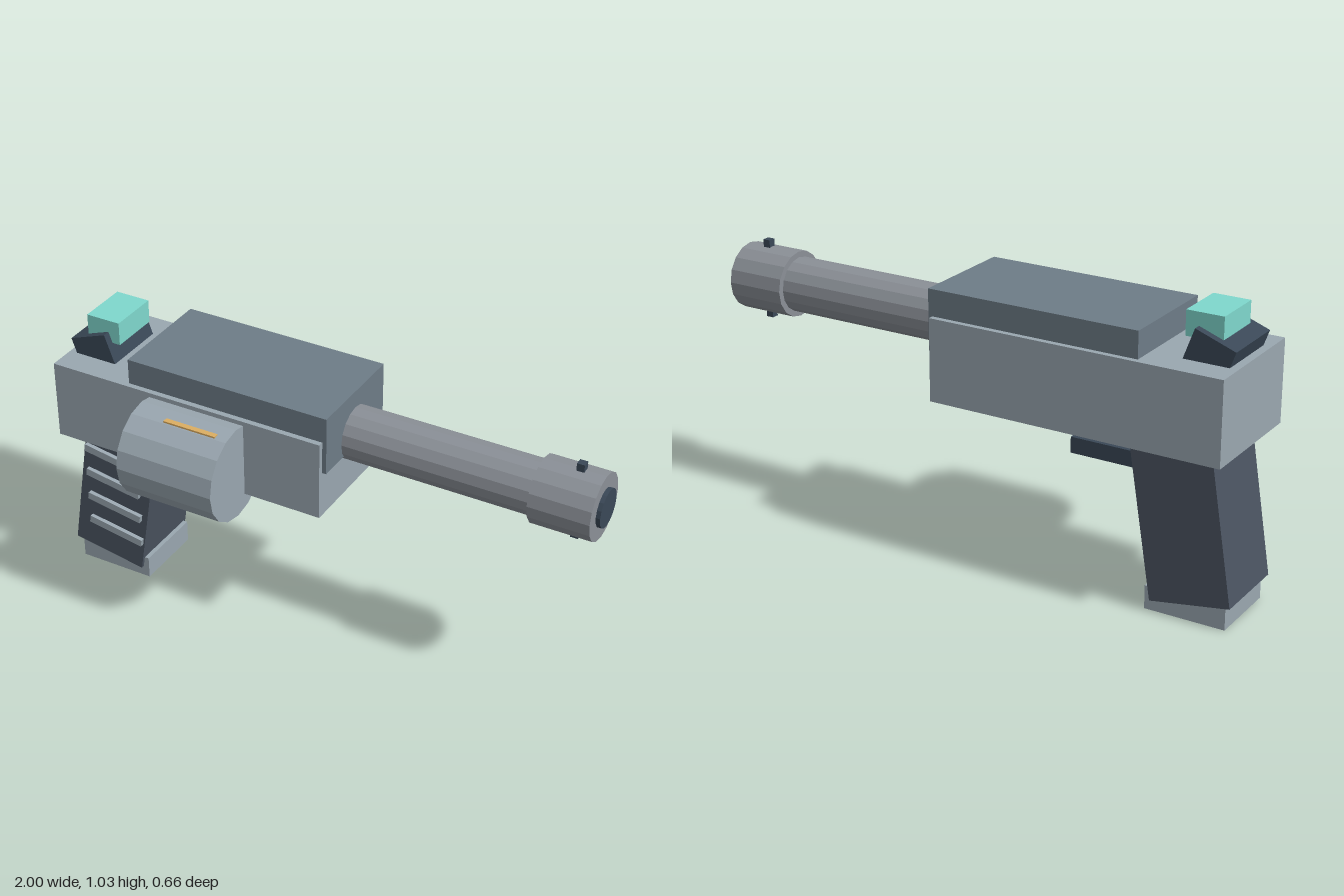
import * as THREE from 'three';

const mat = (color) => new THREE.MeshStandardMaterial({ color, flatShading: true });

export function createModel() {
  const model = new THREE.Group();
  const body = mat(0x9aa7b0), slate = mat(0x6e7c87), steel = mat(0x8b9097);
  const dark = mat(0x3a4857), gripMat = mat(0x4c5562), teal = mat(0x7fd8cd), gold = mat(0xdcae62);
  const axisZ = -0.11; // centre plane of the blaster

  const add = (name, geometry, material, x, y, z, tilt = 0) => {
    const mesh = new THREE.Mesh(geometry, material);
    mesh.name = name;
    mesh.position.set(x, y, z);
    mesh.rotation.z = tilt;
    model.add(mesh);
    return mesh;
  };
  // Box given by its extents
  const box = (name, material, x0, x1, y0, y1, z0, z1) =>
    add(name, new THREE.BoxGeometry(x1 - x0, y1 - y0, z1 - z0), material,
      (x0 + x1) / 2, (y0 + y1) / 2, (z0 + z1) / 2);
  // Cylinder lying along x
  const tube = (name, material, x0, x1, radius, y, z) =>
    add(name, new THREE.CylinderGeometry(radius, radius, x1 - x0, 16).rotateZ(-Math.PI / 2),
      material, (x0 + x1) / 2, y, z);

  // Main body
  box('receiver', body, -0.98, 0.075, 0.59, 0.88, -0.33, 0.11);
  box('topCover', slate, -0.68, 0.09, 0.76, 0.973, -0.31, 0.09);

  // Barrel, muzzle and its sight pins
  const barrelY = 0.814;
  tube('barrel', steel, 0, 0.8, 0.097, barrelY, axisZ);
  tube('muzzle', steel, 0.77, 0.985, 0.118, barrelY, axisZ);
  tube('bore', dark, 0.94, 1, 0.068, barrelY, axisZ);
  for (const side of [1, -1])
    add('muzzlePin', new THREE.BoxGeometry(0.027, 0.05, 0.027), dark, 0.9, barrelY + side * 0.118, axisZ);

  // Power cell on the side with its indicator strip
  tube('powerCell', body, -0.585, -0.215, 0.173, 0.7, 0.155);
  box('indicatorStrip', gold, -0.46, -0.26, 0.845, 0.867, 0.197, 0.217);

  // Slanted grip with ridges on its outer side
  const slant = -0.16;
  add('grip', new THREE.BoxGeometry(0.288, 0.6, 0.29), gripMat, -0.81, 0.359, axisZ, slant);
  for (let i = 0; i < 4; i++)
    add('gripRidge', new THREE.BoxGeometry(0.224, 0.028, 0.03), body, -0.812, 0.498 - i * 0.105, 0.036, slant);
  box('gripBase', body, -0.98, -0.692, 0, 0.083, -0.242, 0.023);

  // Trigger
  box('trigger', dark, -0.622, -0.39, 0.468, 0.524, -0.208, -0.008);

  // Tilted rear sight mount and glowing sight
  add('sightMount', new THREE.BoxGeometry(0.15, 0.12, 0.24), dark, -0.88, 0.903, axisZ, 0.35);
  box('sight', teal, -0.915, -0.785, 0.945, 1.03, -0.203, -0.017);

  return model;
}
